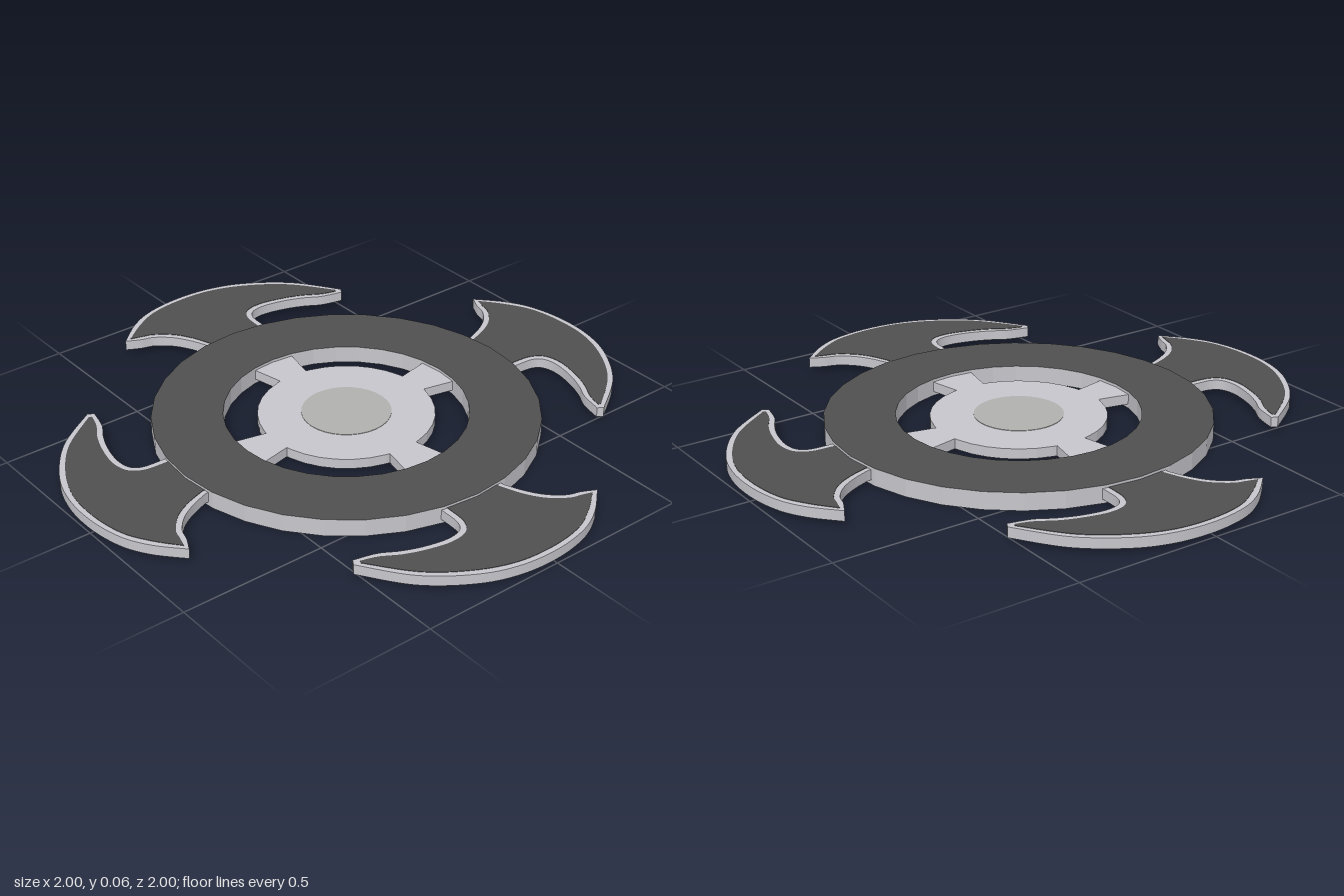
import * as THREE from 'three';
import { toCreasedNormals } from 'three/addons/utils/BufferGeometryUtils.js';

const metal = new THREE.MeshStandardMaterial({ color: 0xc6c6cc });
const dark = new THREE.MeshStandardMaterial({ color: 0x505050 });
const capGrey = new THREE.MeshStandardMaterial({ color: 0xb0b0ae });

const SIDES = 32;
const LOW = 0.015, HIGH = 0.05; // thickness of blades and hub

// Points on a circle, vertices lying on the axes
function arc(r, from = 0, to = Math.PI * 2, n = SIDES) {
  return Array.from({ length: n + 1 }, (_, i) => {
    const a = from + (to - from) * i / n;
    return new THREE.Vector2(r * Math.cos(a), r * Math.sin(a));
  });
}

// Flat plate between two heights, outline drawn as seen from above
function plate(shape, y0, y1, curveSegments = 20) {
  const g = new THREE.ExtrudeGeometry(shape, { depth: y1 - y0, bevelEnabled: false, curveSegments });
  g.rotateX(-Math.PI / 2);
  g.translate(0, y0, 0);
  return g;
}

function add(parent, name, geometry, material) {
  const m = new THREE.Mesh(geometry, material);
  m.name = name;
  parent.add(m);
  return m;
}

// Hooked blade outline: rising front edge, outer sweep, hollow back edge
function bladeShape(front, sweep, back) {
  const v = list => list.map(([x, y]) => new THREE.Vector2(x, y));
  const s = new THREE.Shape();
  s.moveTo(front[0][0], 0.61);
  s.lineTo(...front[0]);
  s.splineThru(v(front.slice(1)));
  s.splineThru(v(sweep));
  s.lineTo(...back[0]);
  s.splineThru(v(back.slice(1)));
  s.lineTo(back[back.length - 1][0], 0.61);
  s.closePath();
  return s;
}

export function createModel() {
  const model = new THREE.Group();
  model.name = 'throwingDisc';

  // Ring: dark faces, bright walls
  const ringShape = new THREE.Shape(arc(0.645));
  ringShape.holes.push(new THREE.Path(arc(0.408)));
  add(model, 'ring', plate(ringShape, 0, 0.06), [dark, metal]);

  // Hub with four flaring spokes in a single outline
  const hub = [];
  for (let i = 0; i < 4; i++) {
    const a = i * Math.PI / 2, c = Math.cos(a), s = Math.sin(a);
    for (const [r, w] of [[0.29, -0.055], [0.42, -0.083], [0.42, 0.083], [0.29, 0.055]])
      hub.push(new THREE.Vector2(r * c - w * s, r * s + w * c));
    hub.push(...arc(0.295, a + 0.24, a + Math.PI / 2 - 0.24, 6));
  }
  add(model, 'hub', plate(new THREE.Shape(hub), LOW, HIGH), metal);

  // Centre cap, a hair proud on both faces
  const cap = new THREE.CylinderGeometry(0.15, 0.15, HIGH - LOW + 0.003, SIDES);
  add(model, 'centreCap', cap, capGrey).position.y = (LOW + HIGH) / 2;

  // Blades: bright body with an inset dark panel on both faces
  const body = bladeShape(
    [[-0.107, 0.645], [-0.134, 0.71], [-0.17, 0.767], [-0.22, 0.81], [-0.267, 0.826], [-0.315, 0.85]],
    [[-0.225, 0.928], [-0.13, 0.976], [0, 0.998], [0.14, 0.988], [0.27, 0.94], [0.41, 0.835], [0.52, 0.68]],
    [[0.508, 0.66], [0.43, 0.68], [0.37, 0.713], [0.3, 0.74], [0.22, 0.755], [0.165, 0.745], [0.14, 0.71], [0.135, 0.645]]);
  const panel = bladeShape(
    [[-0.09, 0.645], [-0.117, 0.718], [-0.155, 0.78], [-0.212, 0.827], [-0.255, 0.841], [-0.292, 0.852]],
    [[-0.214, 0.912], [-0.123, 0.96], [0, 0.98], [0.134, 0.971], [0.262, 0.922], [0.39, 0.83], [0.499, 0.687]],
    [[0.494, 0.678], [0.44, 0.695], [0.375, 0.732], [0.305, 0.758], [0.22, 0.775], [0.155, 0.763], [0.122, 0.718], [0.115, 0.645]]);
  const bodyGeo = toCreasedNormals(plate(body, LOW, HIGH, 24), 0.5);
  const panelGeo = plate(panel, LOW - 0.0015, HIGH + 0.0015, 24);
  for (let i = 0; i < 4; i++) {
    const blade = new THREE.Group();
    blade.name = 'blade' + (i + 1);
    add(blade, 'bladeBody', bodyGeo, metal);
    add(blade, 'bladePanel', panelGeo, dark);
    blade.rotation.y = i * Math.PI / 2;
    model.add(blade);
  }
  return model;
}
